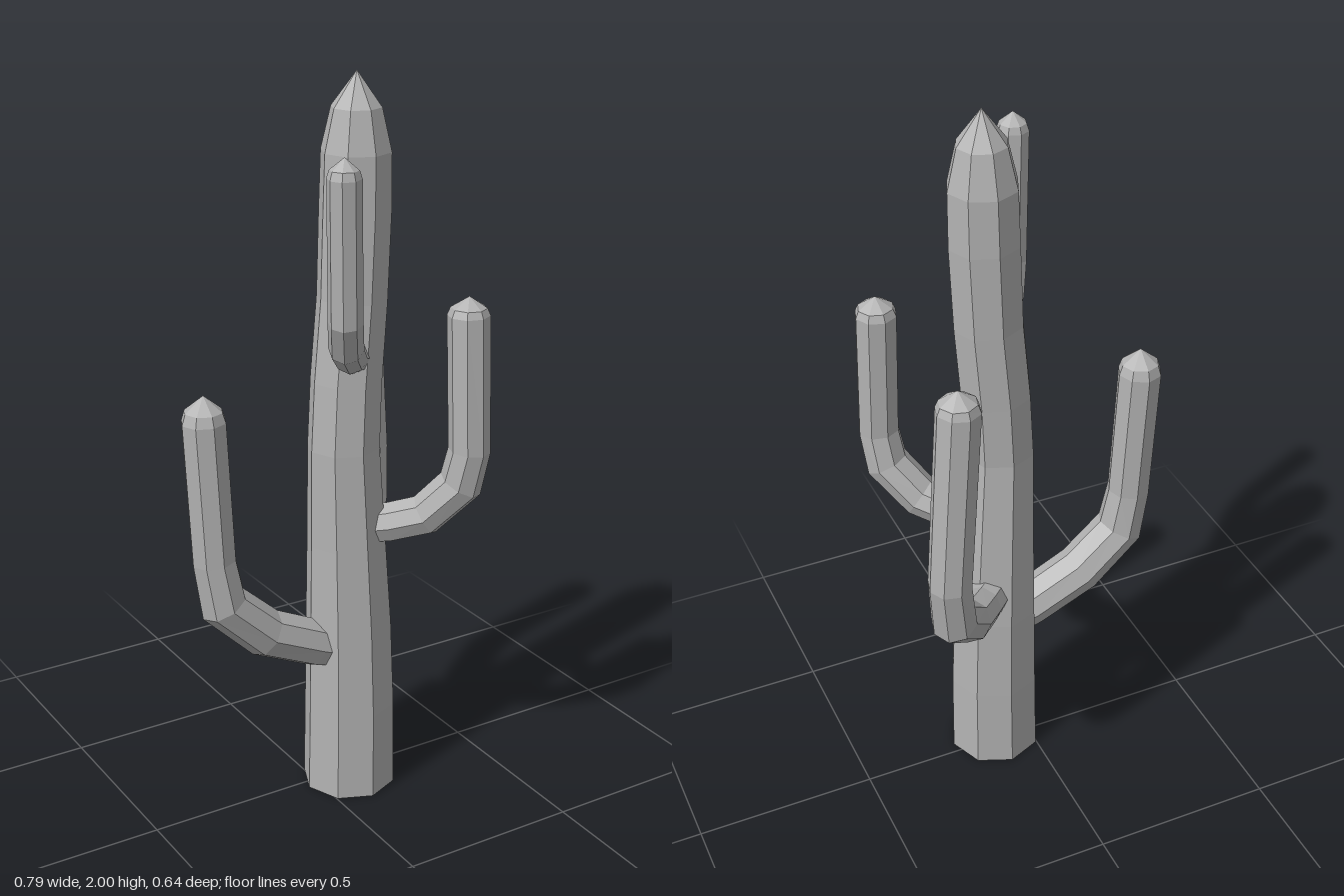
import * as THREE from 'three';

const SIDES = 8;

// Sweeps an octagon along [x, y, z, radius] stations; the last station is the pointed tip.
function sweep(name, stations, side, material) {
  const pts = stations.map(([x, y, z]) => new THREE.Vector3(x, y, z));
  const last = pts.length - 1;
  const pos = [];
  const index = [];
  pts.forEach((p, i) => {
    // Ring plane halves the bend between neighbouring segments
    const t = new THREE.Vector3();
    if (i > 0) t.add(p.clone().sub(pts[i - 1]).normalize());
    if (i < last) t.add(pts[i + 1].clone().sub(p).normalize());
    t.normalize();
    const u = side.clone().addScaledVector(t, -side.dot(t)).normalize();
    const v = t.clone().cross(u);
    for (let j = 0; j < SIDES; j++) {
      const a = (j / SIDES) * Math.PI * 2;
      const q = p.clone()
        .addScaledVector(u, Math.cos(a) * stations[i][3])
        .addScaledVector(v, Math.sin(a) * stations[i][3]);
      pos.push(q.x, q.y, q.z);
    }
  });
  for (let i = 0; i < last; i++) {
    for (let j = 0; j < SIDES; j++) {
      const k = (j + 1) % SIDES;
      const a = i * SIDES + j, b = i * SIDES + k;
      const c = b + SIDES, d = a + SIDES;
      index.push(a, b, d);
      if (i < last - 1) index.push(b, c, d);
    }
  }
  // Flat cap on the base
  for (let j = 1; j < SIDES - 1; j++) index.push(0, j + 1, j);

  const geometry = new THREE.BufferGeometry();
  geometry.setAttribute('position', new THREE.Float32BufferAttribute(pos, 3));
  geometry.setIndex(index);
  const flat = geometry.toNonIndexed();
  flat.computeVertexNormals();
  const mesh = new THREE.Mesh(flat, material);
  mesh.name = name;
  return mesh;
}

// An arm is a bent stem with a short bevelled point at its end.
function arm(name, path, tipY, material) {
  const [x, y, z, r] = path[path.length - 1];
  const h = tipY - y;
  const stations = [...path, [x, y + h * 0.4, z, r * 0.85], [x, tipY, z, 0]];
  const dx = x - path[0][0], dz = z - path[0][2];
  const side = new THREE.Vector3(-dz, 0, dx).normalize();
  return sweep(name, stations, side, material);
}

export function createModel() {
  const group = new THREE.Group();
  group.name = 'cactus';
  const skin = new THREE.MeshStandardMaterial({ color: 0xb3b3b3, flatShading: true });
  skin.name = 'cactus grey';

  // Trunk, gently swaying and narrowing to a point
  group.add(sweep('trunk', [
    [0.095, 0, 0.03, 0.13],
    [0.095, 0.25, 0.03, 0.127],
    [0.09, 0.5, 0.03, 0.12],
    [0.08, 0.75, 0.032, 0.109],
    [0.068, 1.02, 0.035, 0.098],
    [0.076, 1.2, 0.032, 0.096],
    [0.095, 1.42, 0.028, 0.094],
    [0.104, 1.65, 0.025, 0.095],
    [0.106, 1.8, 0.025, 0.092],
    [0.106, 1.91, 0.025, 0.066],
    [0.106, 2, 0.025, 0],
  ], new THREE.Vector3(0, 0, 1), skin));

  // Four arms
  group.add(arm('rightArm', [
    [0.06, 0.43, 0.033, 0.062],
    [-0.02, 0.458, 0.033, 0.066],
    [-0.175, 0.53, 0.033, 0.068],
    [-0.298, 0.645, 0.03, 0.067],
    [-0.32, 0.775, 0.026, 0.06],
    [-0.338, 1.16, 0.02, 0.06],
  ], 1.23, skin));

  group.add(arm('backLeftArm', [
    [0.1, 0.585, 0, 0.057],
    [0.175, 0.6, -0.08, 0.058],
    [0.24, 0.63, -0.155, 0.06],
    [0.318, 0.725, -0.24, 0.062],
    [0.335, 0.87, -0.262, 0.058],
    [0.298, 1.385, -0.258, 0.058],
  ], 1.44, skin));

  group.add(arm('frontLeftArm', [
    [0.12, 0.79, 0.06, 0.054],
    [0.175, 0.802, 0.105, 0.056],
    [0.245, 0.83, 0.165, 0.058],
    [0.315, 0.925, 0.225, 0.06],
    [0.327, 1.025, 0.243, 0.056],
    [0.322, 1.39, 0.228, 0.056],
  ], 1.44, skin));

  group.add(arm('frontRightArm', [
    [0.085, 1.27, 0.065, 0.041],
    [0.025, 1.3, 0.135, 0.043],
    [-0.042, 1.36, 0.22, 0.045],
    [-0.068, 1.44, 0.258, 0.044],
    [-0.086, 1.8, 0.277, 0.043],
  ], 1.85, skin));

  return group;
}
